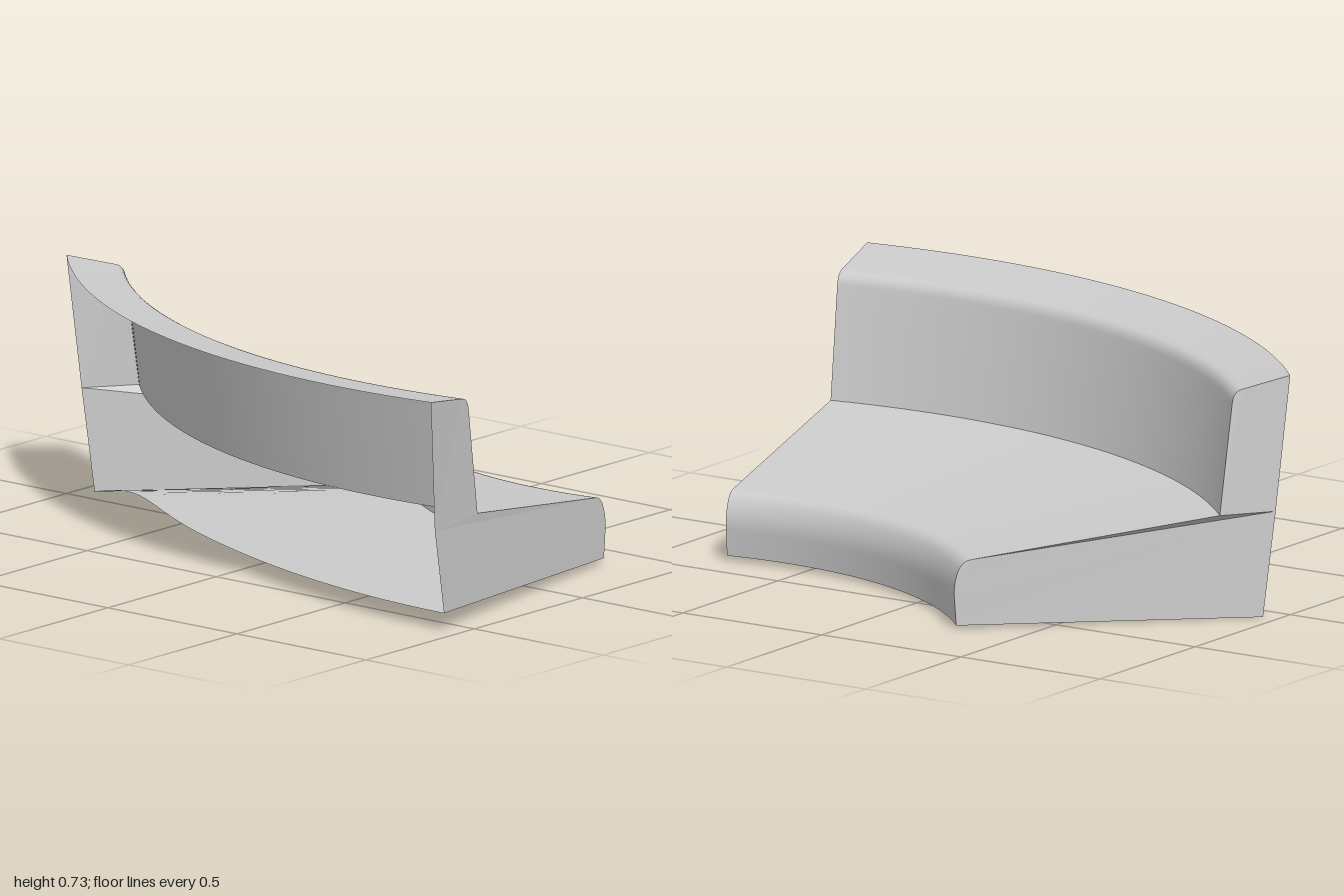
import * as THREE from 'three';

const SEG = 64;
const HALF = THREE.MathUtils.degToRad(28.45); // half of the swept angle

// Each profile point holds its place on both ends: [x, y, z, x, y, z]
const rimBack = [-0.70, 0.73, 1.0, 0.0, 0.73, -1.0];
const rimFront = [-0.465, 0.69, 0.945, 0.13, 0.69, -0.885];
const joint = [-0.39, 0.32, 0.92, 0.18, 0.32, -0.87];
const seatLip = [0.355, 0.205, 0.775, 0.70, 0.205, -0.295];
const frontMid = [0.382, 0.13, 0.77, 0.717, 0.13, -0.28];
const frontFoot = [0.37, 0.015, 0.772, 0.71, 0.01, -0.285];
const backFoot = [-0.58, 0.055, 0.95, 0.07, 0.0, -0.95];
const backBreak = [-0.64, 0.32, 0.965, 0.04, 0.32, -0.975];

const mix = (a, b, t) => a.map((v, i) => v + (b[i] - v) * t);

// Rounded corner at b, starting and ending at fractions of its two sides
function corner(a, b, c, ka, kc, n = 6) {
  const p = mix(b, a, ka), q = mix(b, c, kc), out = [];
  for (let i = 0; i <= n; i++) {
    const t = i / n;
    out.push(mix(mix(p, b, t), mix(b, q, t), t));
  }
  return out;
}

// Point at t along the arc joining the two ends of a profile point
function arcPoint([x1, y1, z1, x2, y2, z2], t, inset = 0) {
  const dx = x2 - x1, dz = z2 - z1, len = Math.hypot(dx, dz);
  const r = len / (2 * Math.sin(HALF)), d = r * Math.cos(HALF);
  const ux = -dz / len, uz = dx / len; // towards the centre of the bend
  const a = (2 * t - 1) * HALF;
  const k = r - inset;
  return [
    (x1 + x2) / 2 + ux * d - k * (ux * Math.cos(a) - (dx / len) * Math.sin(a)),
    y1 + (y2 - y1) * t,
    (z1 + z2) / 2 + uz * d - k * (uz * Math.cos(a) - (dz / len) * Math.sin(a)),
  ];
}

// Sheet swept along the bend from a row of profile points
function sweep(profile, place = arcPoint) {
  const pos = [], idx = [], w = SEG + 1;
  profile.forEach((p, i) => {
    for (let j = 0; j <= SEG; j++) {
      pos.push(...place(p, j / SEG));
      if (i < profile.length - 1 && j < SEG) {
        const a = i * w + j, b = a + w;
        idx.push(a, b, a + 1, b, b + 1, a + 1);
      }
    }
  });
  return build(pos, idx);
}

function build(pos, idx) {
  const g = new THREE.BufferGeometry();
  g.setAttribute('position', new THREE.Float32BufferAttribute(pos, 3));
  g.setIndex(idx);
  g.computeVertexNormals();
  return g;
}

// End panel filling the profile outline at one end (0 or 1)
function endPanel(outline, end) {
  const pts = outline.map(p => p.slice(end * 3, end * 3 + 3)).reverse();
  const tris = THREE.ShapeUtils.triangulateShape(pts.map(p => new THREE.Vector2(p[0], p[1])), []);
  const idx = tris.flatMap(([a, b, c]) => (end ? [a, c, b] : [a, b, c]));
  const g = build(pts.flat(), idx).toNonIndexed();
  g.computeVertexNormals();
  return g;
}

export function createModel() {
  const group = new THREE.Group();
  const material = new THREE.MeshStandardMaterial({ color: 0xcccccc, side: THREE.DoubleSide });
  const add = (name, geometry) => {
    const mesh = new THREE.Mesh(geometry, material);
    mesh.name = name;
    group.add(mesh);
  };

  // Backrest: top rim, rounded edge and sloping face; open behind
  const rest = [rimBack, mix(rimBack, rimFront, 0.8),
    ...corner(rimBack, rimFront, joint, 0.15, 0.09),
    mix(rimFront, joint, 0.15), joint];
  add('backrest', sweep(rest));

  // Seat: sloping top, rounded lip and front face
  const seat = [joint, mix(joint, seatLip, 0.05), mix(joint, seatLip, 0.93),
    ...corner(joint, seatLip, frontMid, 0.04, 0.5),
    ...corner(seatLip, frontMid, frontFoot, 0.4, 0.3), frontFoot];
  add('seat', sweep(seat));

  // Underside: its rear edge is drawn in between the ends
  const underside = (p, t) => {
    if (p !== backFoot) return arcPoint(p, t);
    const fade = 1 - t ** 14;
    const q = arcPoint(p, t, 0.13 * Math.sin(Math.min(1, t / 0.6) * Math.PI / 2) * fade);
    q[1] = 0.055 * fade;
    return q;
  };
  add('underside', sweep([frontFoot, backFoot], underside));

  // End panels
  const outline = [...rest, ...seat.slice(1), backFoot, backBreak];
  add('frontEndPanel', endPanel(outline, 0));
  add('rearEndPanel', endPanel(outline, 1));

  return group;
}
